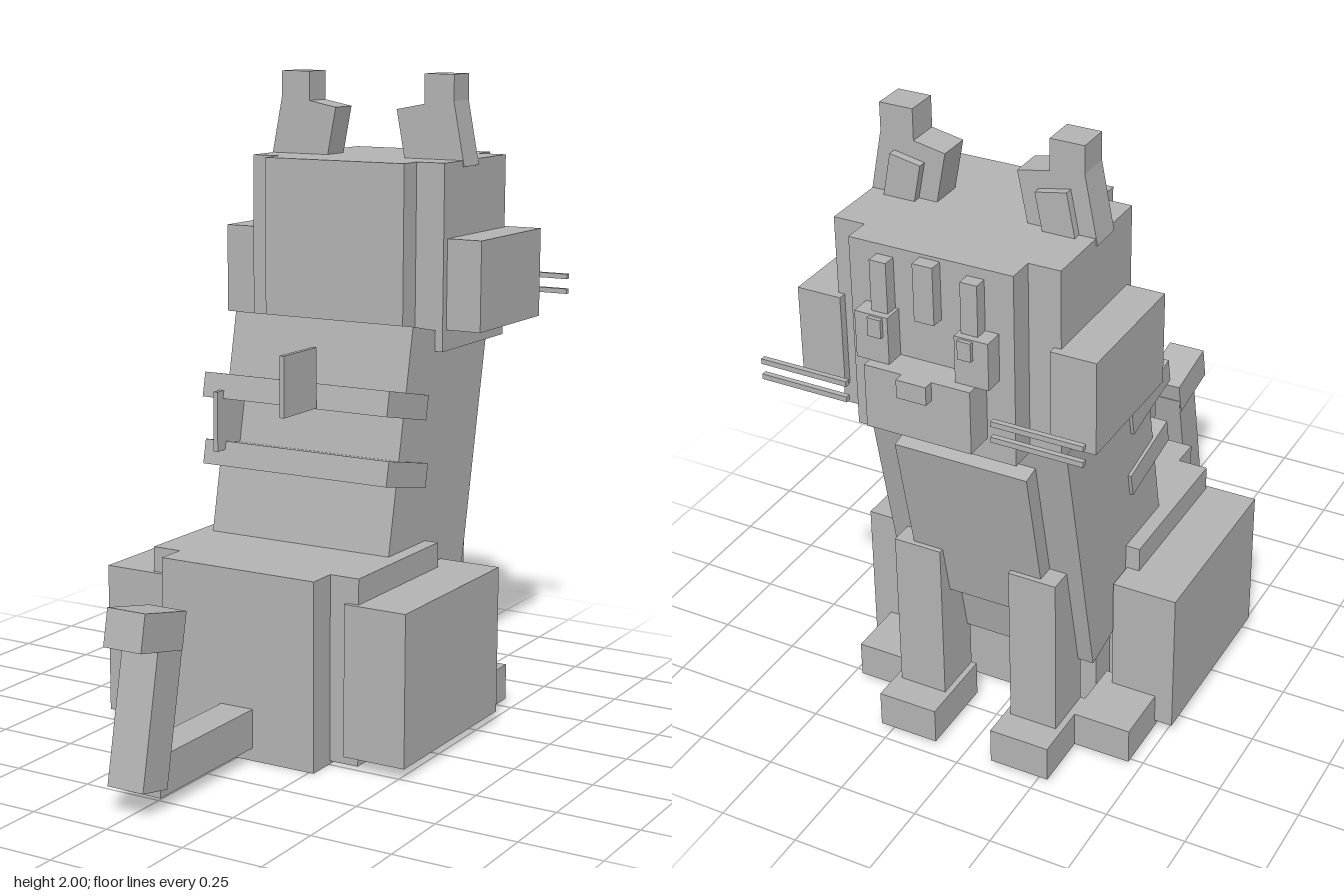
import * as THREE from 'three';

export function createModel() {
  const model = new THREE.Group();
  model.name = 'blockyCat';

  const grey = new THREE.MeshStandardMaterial({ color: 0xb4b4b4 });
  grey.name = 'grey';

  // Box given by its extents on each axis
  function block(name, [x0, x1], [y0, y1], [z0, z1]) {
    const mesh = new THREE.Mesh(new THREE.BoxGeometry(x1 - x0, y1 - y0, z1 - z0), grey);
    mesh.position.set((x0 + x1) / 2, (y0 + y1) / 2, (z0 + z1) / 2);
    mesh.name = name;
    model.add(mesh);
    return mesh;
  }

  // Box given by size and centre, tilted about x and z
  function tilted(name, [w, h, d], [x, y, z], rx = 0, rz = 0) {
    const mesh = new THREE.Mesh(new THREE.BoxGeometry(w, h, d), grey);
    mesh.position.set(x, y, z);
    mesh.rotation.set(rx, 0, rz);
    mesh.name = name;
    model.add(mesh);
    return mesh;
  }

  // Block on one side of the body, with the x range counted from the middle
  const sided = (name, s, [a, b], y, z) =>
    block(name, s > 0 ? [a, b] : [-b, -a], y, z);

  const lean = -0.204;

  // Hips: two crossing blocks
  block('hipsWide', [-0.36, 0.36], [0.01, 0.58], [-0.25, 0.245]);
  block('hipsLong', [-0.265, 0.265], [0, 0.58], [-0.345, 0.34]);

  // Leaning torso with chest plate and two back stripes
  tilted('torso', [0.63, 0.887, 0.502], [0, 0.775, -0.312], lean);
  const chest = tilted('chestPlate', [0.42, 0.56, 0.06], [0, 0, 0], lean);
  chest.position.set(0, 0.765, -0.592);
  for (const y of [1.027, 0.815]) {
    tilted('backStripe', [0.65, 0.077, 0.255], [0, y, -0.111], lean);
  }

  // Upright fins on the back
  block('upperBackFin', [0.075, 0.09], [1.02, 1.205], [0.03, 0.217]);
  block('lowerBackFin', [-0.265, -0.25], [0.853, 1.04], [-0.133, 0.053]);

  // Tail
  block('tailBase', [-0.055, 0.055], [0.04, 0.16], [0.3, 0.82]);
  tilted('tailMiddle', [0.12, 0.44, 0.12], [0, 0.286, 0.807], lean);
  tilted('tailTip', [0.126, 0.11, 0.204], [0, 0.518, 0.804], lean);

  // Head: two crossing blocks
  block('headWide', [-0.34, 0.34], [1.165, 1.74], [-0.72, -0.3]);
  block('headLong', [-0.245, 0.245], [1.165, 1.74], [-0.8, -0.22]);

  // Face
  block('muzzle', [-0.16, 0.16], [1.23, 1.42], [-0.89, -0.78]);
  block('nose', [-0.045, 0.045], [1.365, 1.42], [-0.92, -0.86]);
  block('foreheadStripe', [-0.03, 0.03], [1.56, 1.73], [-0.84, -0.79]);

  for (const s of [-1, 1]) {
    sided('foreheadStripe', s, [0.11, 0.16], [1.53, 1.71], [-0.84, -0.79]);
    sided('eye', s, [0.1, 0.2], [1.42, 1.56], [-0.86, -0.79]);
    sided('pupil', s, [0.115, 0.155], [1.5, 1.555], [-0.872, -0.85]);
    sided('cheek', s, [0.32, 0.455], [1.23, 1.51], [-0.745, -0.325]);
    for (const y of [1.295, 1.343]) {
      sided('whisker', s, [0.22, 0.49], [y - 0.008, y + 0.008], [-0.892, -0.876]);
    }

    // Ears: inward-leaning base, upright tip, inner plate
    tilted('earBase', [0.2, 0.21, 0.1], [s * 0.227, 1.805, -0.47], 0, s * 0.19);
    sided('earTip', s, [0.205, 0.307], [1.8, 2], [-0.52, -0.42]);
    tilted('innerEar', [0.095, 0.13, 0.04], [s * 0.232, 1.795, -0.525], 0, s * 0.19);

    // Legs
    sided('haunch', s, [0.32, 0.522], [0.037, 0.502], [-0.345, 0.26]);
    sided('hindFoot', s, [0.28, 0.465], [0.015, 0.13], [-0.53, -0.3]);
    sided('frontLeg', s, [0.113, 0.265], [0.1, 0.65], [-0.615, -0.45]);
    sided('frontFoot', s, [0.095, 0.285], [0.015, 0.13], [-0.71, -0.45]);
  }

  return model;
}
